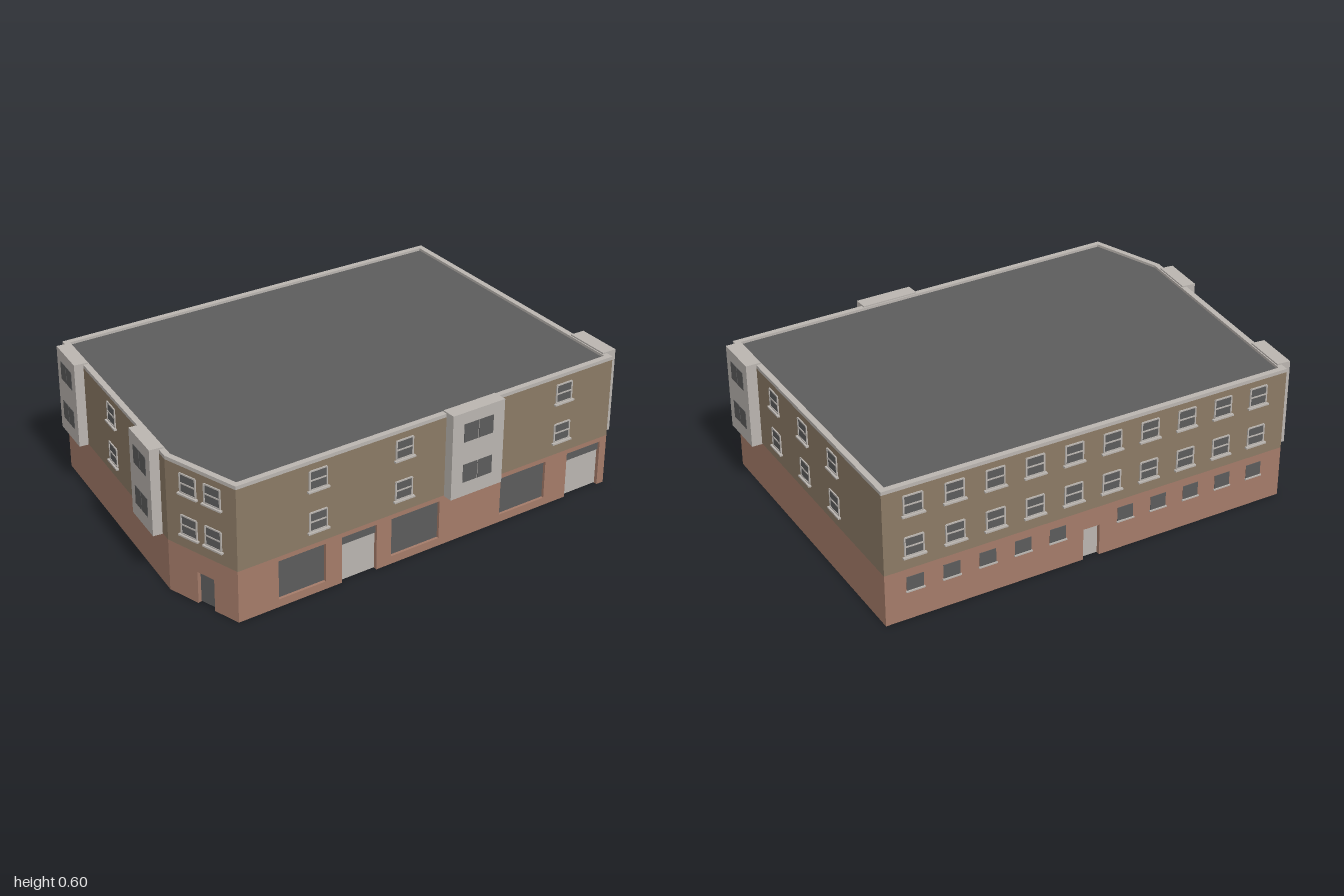
import * as THREE from 'three';

const paint = (name, color) => {
  const m = new THREE.MeshStandardMaterial({ color });
  m.name = name;
  return m;
};

export function createModel() {
  const brick = paint('brick', 0xa47b69);
  const tan = paint('tan brick', 0x8b7a65);
  const grey = paint('pale grey', 0xbab5b0);
  const dark = paint('dark grey', 0x5c5c5c);
  const model = new THREE.Group();
  model.name = 'building';

  // Footprint corners (x, z): front, right, back, left and chamfer walls in turn
  const corners = [[-0.87, 0.68], [0.945, 0.68], [0.993, -0.665], [-0.825, -0.72], [-0.965, 0.34]]
    .map(([x, z]) => new THREE.Vector2(x, z));
  const n = corners.length;
  const T = 0.025; // wall thickness
  const at = (i) => corners[(i + n) % n];
  const dir = (i) => at(i + 1).clone().sub(at(i)).normalize();
  // Mitre shift per unit of depth at corner i
  const mitre = (i) => {
    const a = dir(i), b = dir(i - 1).negate();
    return 1 / Math.tan(Math.acos(a.dot(b)) / 2);
  };

  const box = (parent, name, mat, u0, u1, y0, y1, z0, z1) => {
    const mesh = new THREE.Mesh(new THREE.BoxGeometry(u1 - u0, y1 - y0, z1 - z0), mat);
    mesh.position.set((u0 + u1) / 2, (y0 + y1) / 2, (z0 + z1) / 2);
    mesh.name = name;
    parent.add(mesh);
  };

  // One mitred wall layer; doors are notches in its foot, openings are holes
  const layer = (parent, i, name, mat, y0, y1, d0, d1, doors = [], openings = []) => {
    const L = at(i).distanceTo(at(i + 1));
    const pts = [[0, y0]];
    for (const d of doors) pts.push([d.u0, y0], [d.u0, d.top], [d.u1, d.top], [d.u1, y0]);
    pts.push([L, y0], [L, y1], [0, y1]);
    const shape = new THREE.Shape(pts.map((p) => new THREE.Vector2(...p)));
    for (const [a, b, c, d] of openings) {
      shape.holes.push(new THREE.Path([[a, c], [a, d], [b, d], [b, c]].map((p) => new THREE.Vector2(...p))));
    }
    const geo = new THREE.ExtrudeGeometry(shape, { depth: d1 - d0, bevelEnabled: false });
    geo.translate(0, 0, -d1);
    const p = geo.attributes.position;
    for (let k = 0; k < p.count; k++) {
      const u = p.getX(k), z = p.getZ(k);
      if (u < 1e-5) p.setX(k, -z * mitre(i));
      else if (u > L - 1e-5) p.setX(k, L + z * mitre(i + 1));
    }
    geo.computeVertexNormals();
    const mesh = new THREE.Mesh(geo, mat);
    mesh.name = name;
    parent.add(mesh);
  };

  // Sash window with frame, meeting rail and sill
  const sash = (parent, u, y, w = 0.078, h = 0.08) => {
    const g = new THREE.Group();
    g.name = 'sashWindow';
    g.position.set(u, y, 0);
    const r = w / 2, f = 0.006;
    box(g, 'pane', dark, -r, r, 0, h, 0, 0.002);
    for (const s of [-1, 1]) box(g, 'frameSide', grey, s * r - f / 2, s * r + f / 2, 0, h, 0, 0.005);
    for (const yy of [0, h / 2, h]) box(g, 'frameRail', grey, -r, r, yy - f / 2, yy + f / 2, 0, 0.0045);
    box(g, 'sill', grey, -r - 0.01, r + 0.01, -0.009, -0.002, 0, 0.012);
    parent.add(g);
  };
  const floors = [0.285, 0.465];

  // Projecting bay with a pair of panes on each upper floor
  const bay = (parent, u, w, depth, pane) => {
    const g = new THREE.Group();
    g.name = 'bay';
    g.position.x = u;
    box(g, 'bayBody', grey, -w / 2, w / 2, 0.222, 0.596, -0.02, depth);
    for (const y of floors) for (const s of [-1, 1]) {
      const c = s * (pane / 2 + 0.002);
      box(g, 'bayPane', dark, c - pane / 2, c + pane / 2, y, y + 0.08, depth, depth + 0.002);
    }
    parent.add(g);
  };

  const X = 0.87; // turns front x into distance along the front wall
  const backLength = at(2).distanceTo(at(3));
  const slot = (k, count) => backLength * (0.07 + 0.855 * k / (count - 1));
  const door = (u, w, top, kind) => ({ u0: u - w / 2, u1: u + w / 2, top, kind });
  const walls = [
    {
      name: 'frontWall', windows: [-0.51, -0.11, 0.69].map((x) => x + X),
      doors: [door(X - 0.3175, 0.165, 0.205, 'garage'), door(X + 0.82, 0.18, 0.205, 'garage')],
      shops: [[-0.69, -0.475], [-0.165, 0.07], [0.38, 0.615]].map(([a, b]) => [a + X, b + X, 0.035, 0.205]),
      bays: [[X + 0.218, 0.255, 0.043, 0.07]],
    },
    { name: 'rightWall', windows: [0.405, 0.675, 0.94], bays: [[0.138, 0.205, 0.045, 0.058]] },
    {
      name: 'backWall', windows: Array.from({ length: 10 }, (_, k) => slot(k, 10)),
      small: [0, 1, 2, 3, 4, 6, 7, 8, 9, 10].map((k) => slot(k, 11)),
      doors: [door(slot(5, 11), 0.075, 0.14, 'pale')],
    },
    { name: 'leftWall', windows: [0.534], bays: [[0.14, 0.2, 0.04, 0.058], [0.918, 0.2, 0.04, 0.058]] },
    { name: 'chamferWall', windows: [0.115, 0.237], doors: [door(0.19, 0.085, 0.14, 'dark')] },
  ];

  walls.forEach(({ name, windows, doors = [], shops = [], bays = [], small = [] }, i) => {
    const g = new THREE.Group();
    const d = dir(i);
    g.name = name;
    g.position.set(at(i).x, 0, at(i).y);
    g.rotation.y = Math.atan2(-d.y, d.x);
    model.add(g);

    layer(g, i, 'groundFloorBrick', brick, 0, 0.225, 0, 0.021, doors, shops);
    layer(g, i, 'upperFloorBrick', tan, 0.225, 0.575, 0, 0.021);
    layer(g, i, 'innerLining', grey, 0, 0.575, 0.021, T, doors);
    layer(g, i, 'parapet', grey, 0.575, 0.59, 0, T);

    for (const u of windows) for (const y of floors) sash(g, u, y);
    for (const b of bays) bay(g, ...b);
    for (const [a, b, c, e] of shops) box(g, 'shopWindow', dark, a, b, c, e, -0.02, -0.012);

    // Small ground floor windows
    for (const u of small) {
      box(g, 'smallPane', dark, u - 0.036, u + 0.036, 0.13, 0.19, 0, 0.002);
      box(g, 'smallSill', grey, u - 0.04, u + 0.04, 0.124, 0.13, 0, 0.007);
    }

    // Recessed doors
    for (const { u0, u1, top, kind } of doors) {
      if (kind === 'garage') {
        box(g, 'garageDoor', grey, u0, u1, 0.002, 0.165, -0.024, -0.016);
        box(g, 'garageLintel', dark, u0, u1, 0.165, top, -0.024, -0.01);
        box(g, 'garageInnerPanel', dark, u0 + 0.015, u1 - 0.015, 0.02, 0.15, -0.026, -0.024);
        for (let k = 1; k < 4; k++) {
          const y = 0.02 + k * 0.0325;
          box(g, 'garageInnerRail', grey, u0 + 0.015, u1 - 0.015, y - 0.003, y + 0.003, -0.028, -0.026);
        }
      } else {
        box(g, 'door', kind === 'dark' ? dark : grey, u0, u1, 0.002, top, -0.024, -0.017);
      }
    }
  });

  // Flat roof slab inside the parapet
  const inner = corners.map((c, i) => {
    const d = dir(i), m = mitre(i);
    return new THREE.Vector2(c.x + T * (d.x * m + d.y), -(c.y + T * (d.y * m - d.x)));
  });
  const roofGeo = new THREE.ExtrudeGeometry(new THREE.Shape(inner), { depth: 0.012, bevelEnabled: false });
  roofGeo.rotateX(-Math.PI / 2).translate(0, 0.567, 0);
  const roof = new THREE.Mesh(roofGeo, dark);
  roof.name = 'roof';
  model.add(roof);

  return model;
}
